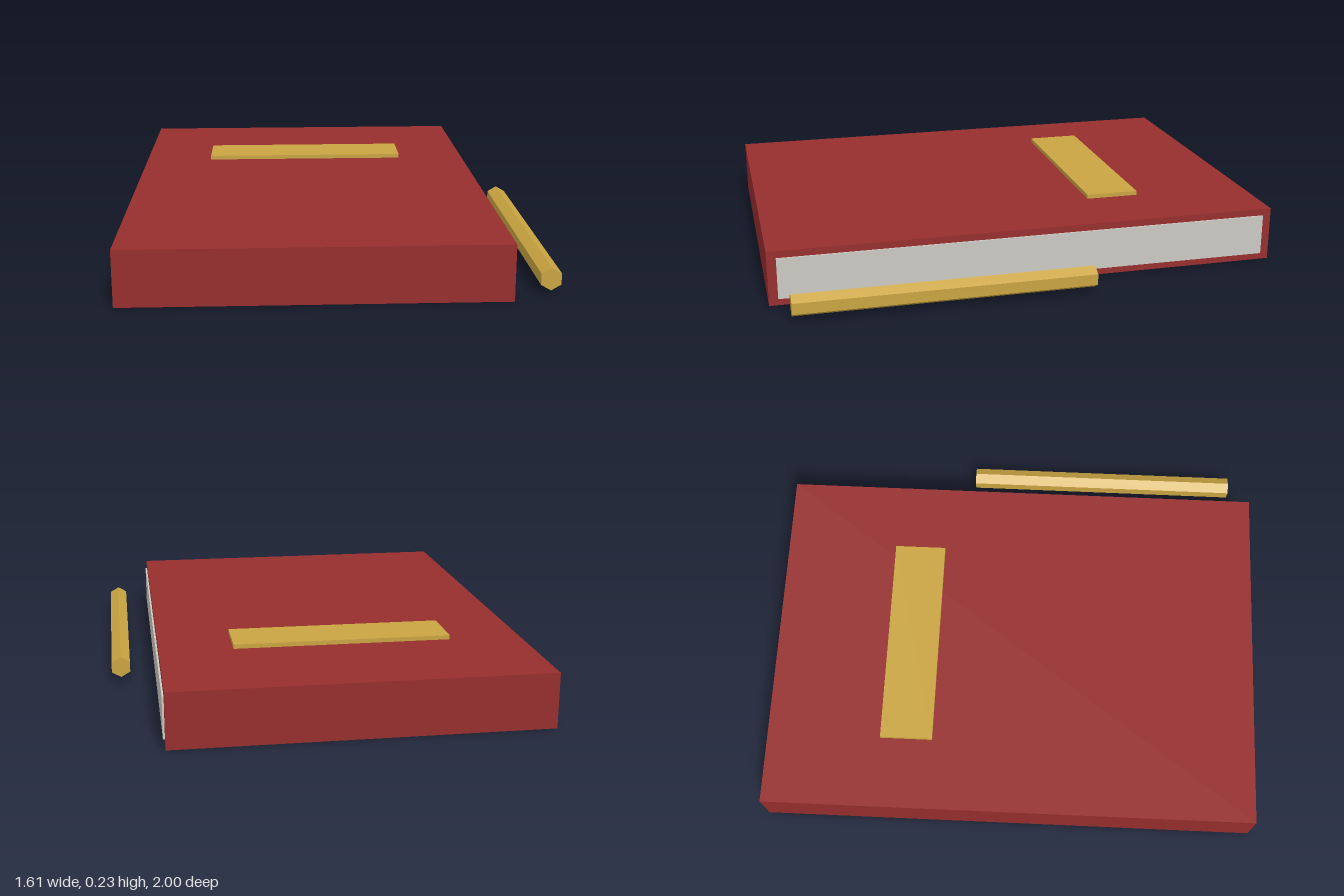
import * as THREE from 'three';

const material = (name, color) => {
  const m = new THREE.MeshStandardMaterial({ color });
  m.name = name;
  return m;
};

export function createModel() {
  const red = material('coverRed', 0x962d2d);
  const gold = material('gold', 0xc9a441);
  const paper = material('paper', 0xcbc9c2);
  gold.flatShading = true; // faceted pencil

  const group = new THREE.Group();
  group.name = 'bookAndPencil';

  const add = (name, geometry, mat) => {
    const mesh = new THREE.Mesh(geometry, mat);
    mesh.name = name;
    group.add(mesh);
    return mesh;
  };

  // Box given by its lower and upper corners
  const box = (name, mat, [x0, y0, z0], [x1, y1, z1]) =>
    add(name, new THREE.BoxGeometry(x1 - x0, y1 - y0, z1 - z0), mat)
      .position.set((x0 + x1) / 2, (y0 + y1) / 2, (z0 + z1) / 2);

  // Closed cover, with the page block standing slightly proud of the open edge
  box('cover', red, [-0.805, 0, -1], [0.622, 0.214, 1]);
  box('pages', paper, [-0.72, 0.027, -0.965], [0.629, 0.187, 0.965]);

  // Raised title plate on the cover
  box('titlePlate', gold, [-0.519, 0.205, -0.535], [0.335, 0.231, -0.322]);

  // Hexagonal pencil lying beside the book
  const pencil = add('pencil', new THREE.CylinderGeometry(0.043, 0.043, 1.145, 6), gold);
  pencil.rotation.x = Math.PI / 2;
  pencil.position.set(0.767, 0.058, 0.357);

  return group;
}
